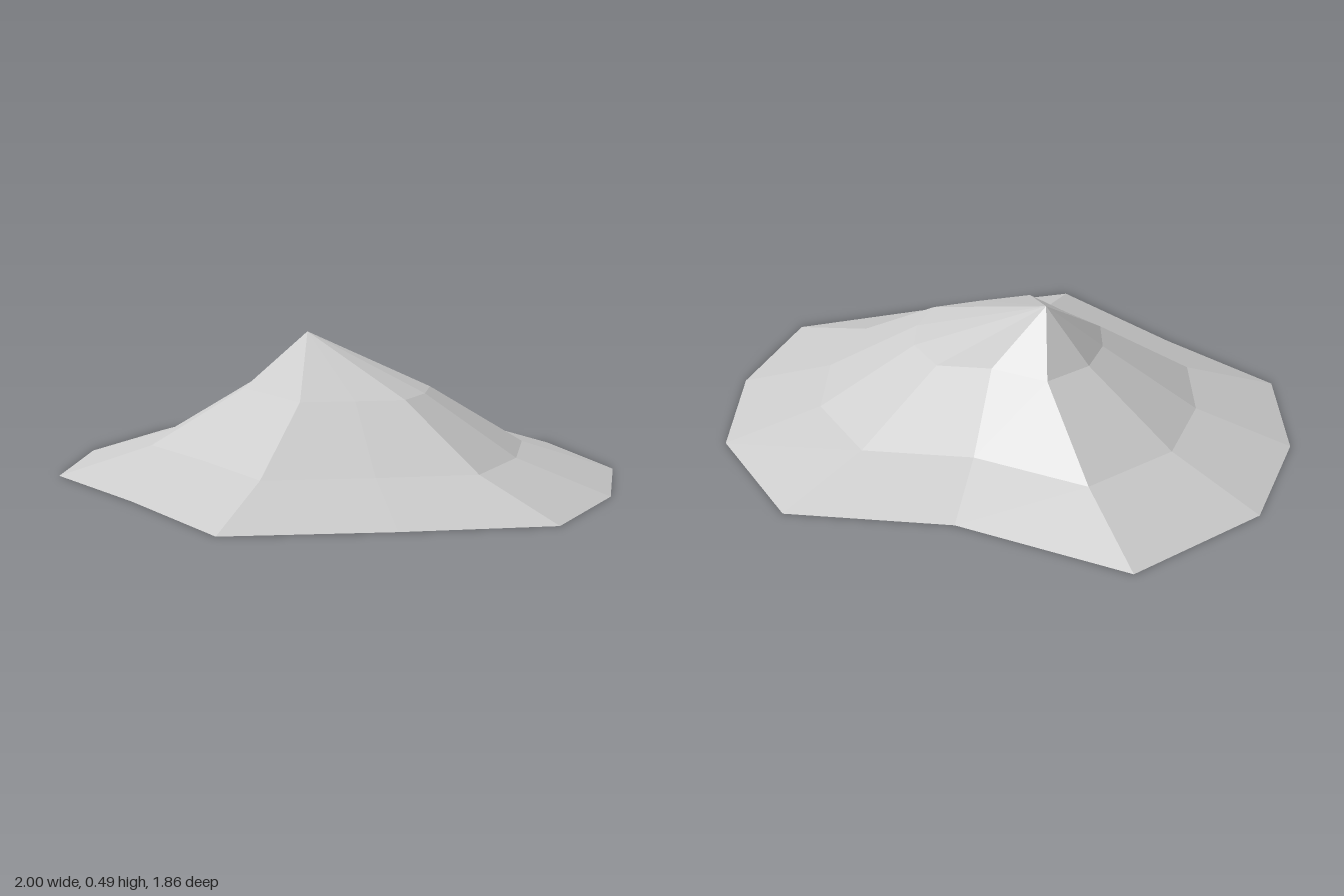
import * as THREE from 'three';

// Ground outline (x, z), counter-clockwise seen from above
const outline = [
  [0, 0.925], [0.5, 0.66], [0.945, 0.395], [1, -0.06], [0.905, -0.495], [0.56, -0.865],
  [0, -0.8], [-0.605, -0.93], [-0.945, -0.515], [-1, -0.06], [-0.89, 0.37], [-0.465, 0.615],
];
const centreZ = -0.06;
const apex = [-0.153, 0.49, -0.157];

// Contour of the mound: the outline shrunk about its centre at a height
const contour = (scale, y) =>
  outline.map(([x, z]) => [x * scale, y, centreZ + (z - centreZ) * scale]);

function facetedMesh(name, points, material) {
  const geometry = new THREE.BufferGeometry();
  geometry.setAttribute('position', new THREE.Float32BufferAttribute(points.flat(), 3));
  geometry.computeVertexNormals();
  const mesh = new THREE.Mesh(geometry, material);
  mesh.name = name;
  return mesh;
}

export function createModel() {
  const group = new THREE.Group();
  group.name = 'hill';
  const stone = new THREE.MeshStandardMaterial({ color: 0xcccccc, flatShading: true });
  stone.name = 'light grey stone';

  const rings = [contour(1, 0), contour(2 / 3, 0.107), contour(1 / 3, 0.31)];
  const count = outline.length;
  const slopes = [];
  const peak = [];
  const base = [];
  for (let i = 0; i < count; i++) {
    const j = (i + 1) % count;
    // Sloping bands between neighbouring contours
    for (let r = 0; r < 2; r++) {
      const [lower, upper] = [rings[r], rings[r + 1]];
      slopes.push(lower[i], lower[j], upper[j], lower[i], upper[j], upper[i]);
    }
    // Fan up to the off-centre summit
    peak.push(rings[2][i], rings[2][j], apex);
    // Flat underside
    base.push(rings[0][j], rings[0][i], [0, 0, centreZ]);
  }

  group.add(
    facetedMesh('slopes', slopes, stone),
    facetedMesh('peak', peak, stone),
    facetedMesh('base', base, stone),
  );
  return group;
}
